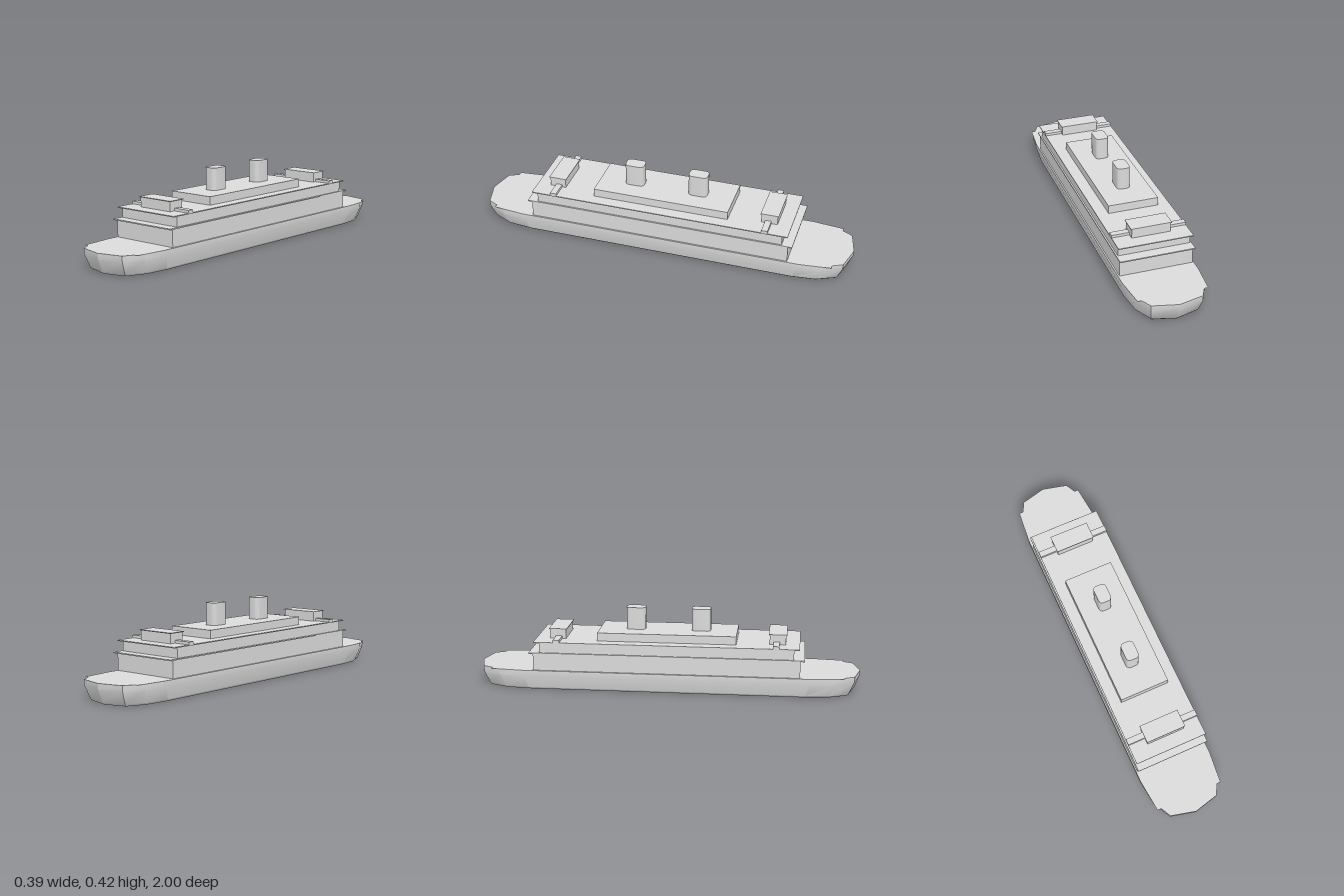
import * as THREE from 'three';
import { toCreasedNormals } from 'three/addons/utils/BufferGeometryUtils.js';

// Double sided because the hull is an open shell seen from below
const grey = new THREE.MeshStandardMaterial({ color: 0xdbdbdb, side: THREE.DoubleSide });
grey.name = 'ship grey';

// Mirror a quarter outline (bow to midship, as [x, z]) into a closed ring
function fullOutline(quarter) {
  const side = [...quarter, ...quarter.map(([x, z]) => [x, -z]).reverse()];
  const other = side.slice(1, -1).map(([x, z]) => [-x, z]).reverse();
  return [...side, ...other];
}

// Lofted hull shell: the same outline scaled at each height, open at the bottom
function hullGeometry() {
  const ring = fullOutline([[0, 1], [0.13, 0.968], [0.18, 0.87], [0.195, 0.74]]);
  const levels = [ // y, x scale, z scale
    [0, 0.865, 0.962], [0.01, 0.91, 0.971], [0.075, 1, 0.998], [0.105, 1, 1],
  ];
  const n = ring.length;
  const positions = [];
  const index = [];
  for (const [y, sx, sz] of levels)
    for (const [x, z] of ring) positions.push(x * sx, y, z * sz);
  for (let i = 0; i < n; i++) {
    const k = (i + 1) % n;
    for (let j = 0; j < levels.length - 1; j++) {
      const a = j * n + i, b = j * n + k;
      index.push(a, b, b + n, a, b + n, a + n);
    }
  }
  const geometry = new THREE.BufferGeometry();
  geometry.setAttribute('position', new THREE.Float32BufferAttribute(positions, 3));
  geometry.setIndex(index);
  return toCreasedNormals(geometry, 0.45);
}

// Flat deck with small overhanging corners
function deckGeometry() {
  const outline = fullOutline([
    [0, 1], [0.13, 0.968], [0.157, 0.915], [0.178, 0.915], [0.195, 0.75],
  ]);
  const shape = new THREE.Shape(outline.map(([x, z]) => new THREE.Vector2(x, z)));
  return new THREE.ShapeGeometry(shape).rotateX(-Math.PI / 2);
}

// Upright funnel with rounded corners, base on y = 0
function funnelGeometry(hx, hz, r, height) {
  const s = new THREE.Shape();
  s.absarc(hx - r, hz - r, r, 0, Math.PI / 2);
  s.absarc(r - hx, hz - r, r, Math.PI / 2, Math.PI);
  s.absarc(r - hx, r - hz, r, Math.PI, Math.PI * 1.5);
  s.absarc(hx - r, r - hz, r, Math.PI * 1.5, Math.PI * 2);
  s.closePath();
  const geometry = new THREE.ExtrudeGeometry(s, {
    depth: height, bevelEnabled: false, curveSegments: 2,
  });
  return toCreasedNormals(geometry.rotateX(-Math.PI / 2), 0.6);
}

export function createModel() {
  const ship = new THREE.Group();
  ship.name = 'ship';

  function add(name, geometry, x = 0, y = 0, z = 0) {
    const mesh = new THREE.Mesh(geometry, grey);
    mesh.name = name;
    mesh.position.set(x, y, z);
    ship.add(mesh);
  }
  // Box from half widths and a bottom and top height
  function block(name, hx, hz, y0, y1, z = 0) {
    add(name, new THREE.BoxGeometry(hx * 2, y1 - y0, hz * 2), 0, (y0 + y1) / 2, z);
  }

  // Hull and main deck
  add('hull', hullGeometry());
  add('mainDeck', deckGeometry(), 0, 0.105, 0);

  // Superstructure with overhanging deck plates
  block('lowerHouse', 0.188, 0.69, 0.106, 0.194);
  block('lowerDeckPlate', 0.193, 0.712, 0.194, 0.2);
  block('upperHouse', 0.185, 0.657, 0.2, 0.252);
  block('upperDeckPlate', 0.192, 0.686, 0.252, 0.257);
  block('topHouse', 0.131, 0.36, 0.257, 0.3);

  // A bridge and a funnel towards each end
  for (const [end, s] of [['front', 1], ['rear', -1]]) {
    block(end + 'BridgeWings', 0.192, 0.016, 0.257, 0.271, s * 0.566);
    block(end + 'Bridge', 0.1, 0.042, 0.257, 0.306, s * 0.572);
    block(end + 'BridgeRoof', 0.105, 0.047, 0.306, 0.31, s * 0.572);
    add(end + 'Funnel', funnelGeometry(0.0345, 0.05, 0.02, 0.117), 0, 0.299, s * 0.171);
  }
  return ship;
}
